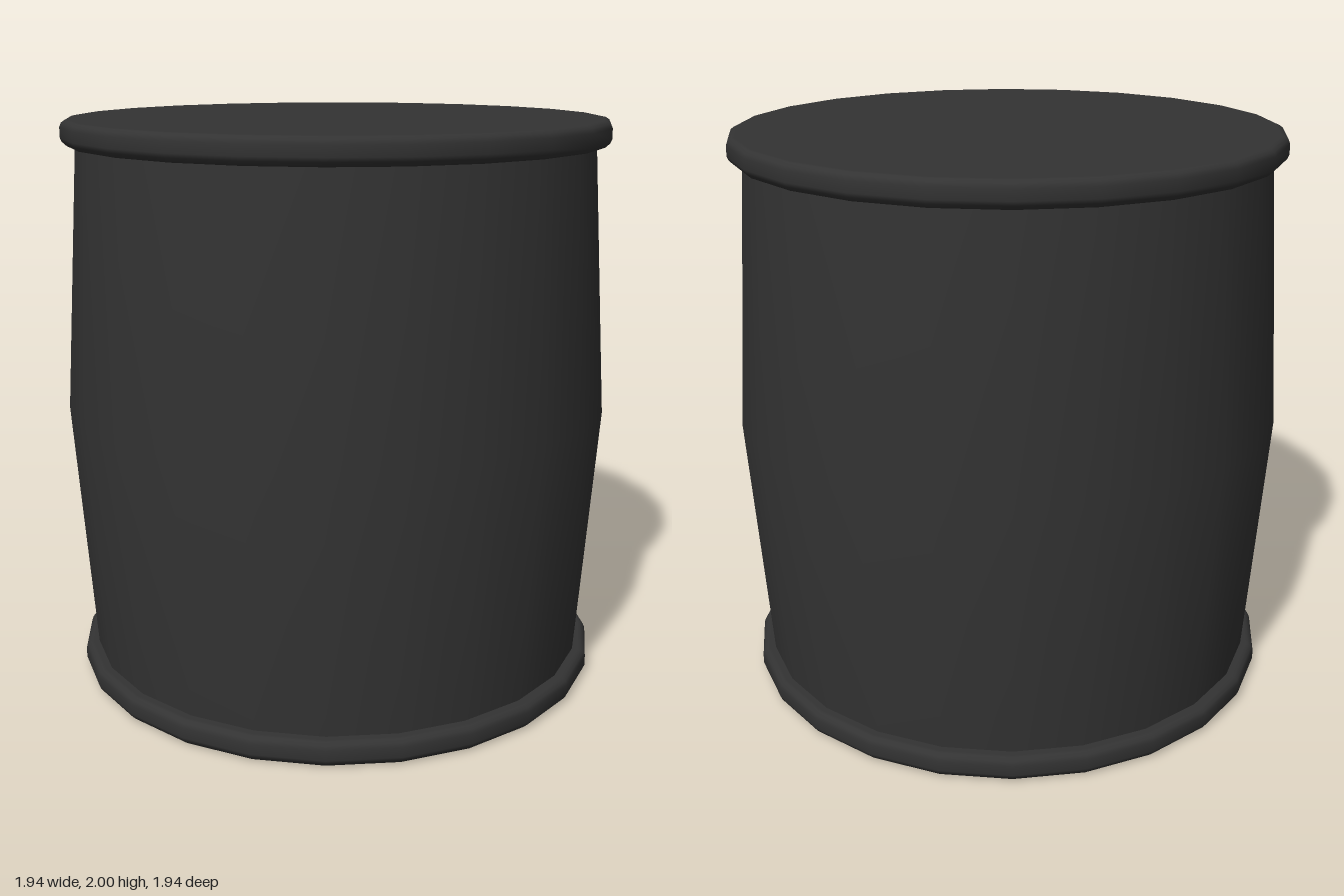
import * as THREE from 'three';

const SIDES = 24;
const HEIGHT = 2;
const RIM = 0.09;

// Turned part from [radius, height] pairs, listed bottom to top
function turned(name, profile, material) {
  const points = profile.map(([r, y]) => new THREE.Vector2(r, y));
  const mesh = new THREE.Mesh(new THREE.LatheGeometry(points, SIDES), material);
  mesh.name = name;
  return mesh;
}

export function createModel() {
  const group = new THREE.Group();
  group.name = 'drum';
  const material = new THREE.MeshStandardMaterial({ color: 0x333333 });

  // Bulging shell, widest at mid height
  group.add(turned('shell', [[0.905, 0.05], [0.97, 1], [0.905, HEIGHT - 0.05]], material));

  // Solid end disc with a rounded rim; the close pairs of points keep the flat faces flat
  const disc = [
    [0, 0], [0.925, 0], [0.935, 0.002], [0.95, 0.016], [0.956, 0.03],
    [0.956, 0.065], [0.95, 0.08], [0.938, RIM - 0.002], [0.928, RIM], [0, RIM],
  ];
  const bottom = turned('bottomHead', disc, material);
  const top = turned('topHead', disc, material);
  top.position.y = HEIGHT - RIM;
  group.add(bottom, top);

  return group;
}
